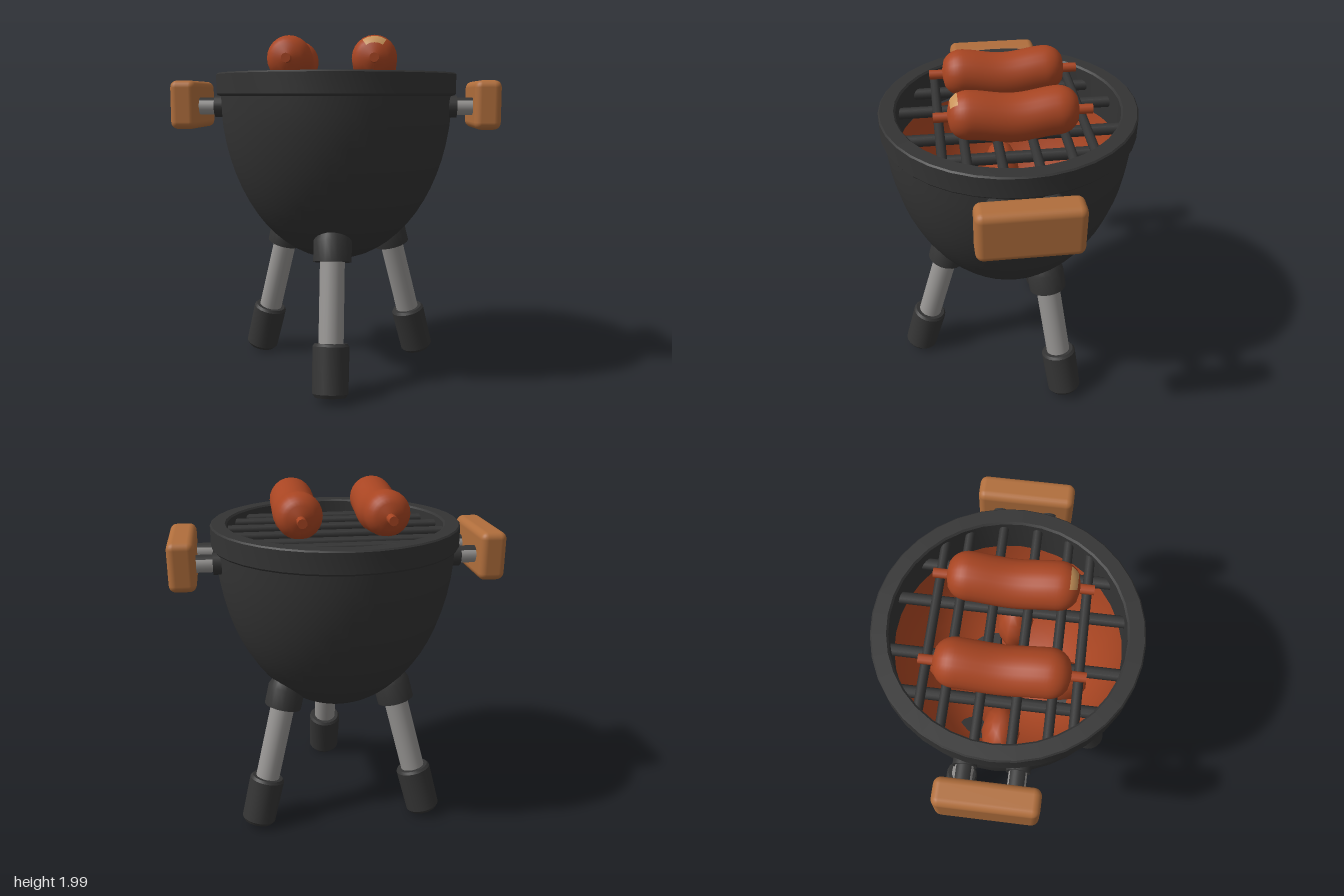
import * as THREE from 'three';
import { toCreasedNormals } from 'three/addons/utils/BufferGeometryUtils.js';
import { RoundedBoxGeometry } from 'three/addons/geometries/RoundedBoxGeometry.js';

const material = (name, color) => Object.assign(new THREE.MeshStandardMaterial({ color }), { name });
const charcoal = material('charcoal enamel', 0x343434);
const steel = material('brushed steel', 0x969492);
const wood = material('wood', 0xb06e3c);
const sausageRed = material('sausage and ember red', 0xa84522);
const tan = material('tan glow', 0xc8935a);

function add(parent, name, geometry, mat, x = 0, y = 0, z = 0) {
  const mesh = new THREE.Mesh(geometry, mat);
  mesh.name = name;
  mesh.position.set(x, y, z);
  parent.add(mesh);
  return mesh;
}

const lathe = (pts, sides, start, length) =>
  new THREE.LatheGeometry(pts.map(([x, y]) => new THREE.Vector2(x, y)), sides, start, length);
const crispLathe = (pts, sides) => toCreasedNormals(lathe(pts, sides), 0.6);

// Half-ellipse bowl profile, bottom to top
function bowlProfile(radius, depth, topAngle) {
  const pts = [];
  for (let i = 0; i <= 16; i++) {
    const a = (i / 16) * topAngle;
    pts.push([radius * Math.sin(a), 1.67 - depth * Math.cos(a)]);
  }
  return pts;
}

// Capped sausage profile along its axis, swollen by a small offset
function sausageProfile(from, to, offset = 0) {
  const pts = [];
  for (let i = 0; i <= 40; i++) {
    const z = from + (to - from) * i / 40;
    const end = Math.max(0, (Math.abs(z) - 0.225) / 0.12);
    pts.push([0.127 * Math.pow(Math.max(0, 1 - end ** 2.2), 1 / 2.2) + offset, z]);
  }
  return pts;
}

// Turn a lathe to lie along z and let its middle sag
function layAndSag(geometry) {
  geometry.rotateX(Math.PI / 2);
  const p = geometry.attributes.position;
  for (let i = 0; i < p.count; i++) {
    const z = p.getZ(i);
    if (Math.abs(z) < 0.25) p.setY(i, p.getY(i) - 0.03 * Math.cos(Math.PI * z / 0.5) ** 2);
  }
  geometry.computeVertexNormals();
  return geometry;
}

function makeSausage(x) {
  const g = new THREE.Group();
  g.name = 'sausage';
  g.position.set(x, 1.872, 0);
  add(g, 'sausageBody', layAndSag(lathe(sausageProfile(-0.345, 0.345), 24)), sausageRed);
  for (const s of [-1, 1]) {
    const tip = new THREE.CylinderGeometry(0.026, 0.026, 0.09, 10).rotateX(Math.PI / 2);
    add(g, 'sausageTip', tip, sausageRed, 0, -0.005, s * 0.368);
  }
  return g;
}

function makeLeg(angle) {
  const pivot = new THREE.Group();
  pivot.name = 'leg';
  pivot.rotation.y = angle;
  const leg = new THREE.Group();
  leg.name = 'tiltedLeg';
  leg.position.set(0, 0.03, 0.592);
  leg.rotation.x = -0.276;
  pivot.add(leg);
  add(leg, 'foot', crispLathe([[0, 0], [0.085, 0], [0.1, 0.02], [0.103, 0.275], [0.092, 0.29], [0, 0.29]], 20), charcoal);
  add(leg, 'legTube', new THREE.CylinderGeometry(0.07, 0.07, 0.6, 20), steel, 0, 0.52);
  add(leg, 'legCuff', crispLathe([[0, 0.74], [0.108, 0.74], [0.108, 0.86], [0.09, 0.9], [0, 0.9]], 20), charcoal);
  return pivot;
}

function makeHandle(side) {
  const g = new THREE.Group();
  g.name = side > 0 ? 'leftHandle' : 'rightHandle';
  add(g, 'handleGrip', new RoundedBoxGeometry(0.15, 0.275, 0.53, 3, 0.04), wood, side * 0.86, 1.612);
  for (const z of [-0.135, 0.135]) {
    const rod = new THREE.CylinderGeometry(0.047, 0.047, 0.18, 16).rotateZ(Math.PI / 2);
    add(g, 'handleRod', rod, steel, side * 0.73, 1.602, z);
    const collar = new THREE.CylinderGeometry(0.062, 0.062, 0.06, 16).rotateZ(Math.PI / 2);
    add(g, 'handleCollar', collar, charcoal, side * 0.665, 1.602, z);
    // Dark strip along the top of the rod
    const strip = new THREE.CylinderGeometry(0.051, 0.051, 0.14, 10, 1, true, Math.PI / 2 - 0.85, 1.7);
    add(g, 'rodCover', strip.rotateZ(Math.PI / 2), charcoal, side * 0.73, 1.602, z);
  }
  return g;
}

export function createModel() {
  const model = new THREE.Group();
  model.name = 'kettleGrill';

  // Bowl, rim and glowing lining
  add(model, 'bowl', lathe(bowlProfile(0.68, 0.98, Math.PI / 2), 40), charcoal);
  add(model, 'bowlLining', lathe(bowlProfile(0.645, 0.94, 1.42).reverse(), 32), sausageRed);
  add(model, 'rim', crispLathe([[0.61, 1.56], [0.66, 1.66], [0.695, 1.665], [0.703, 1.675], [0.703, 1.785],
    [0.695, 1.793], [0.62, 1.793], [0.61, 1.783], [0.61, 1.56]], 36), charcoal);

  // Embers in the bowl
  for (let i = 0; i < 4; i++) {
    const a = i * Math.PI / 2;
    const r = i % 2 ? 0.36 : 0.3;
    const ember = add(model, 'ember', new THREE.SphereGeometry(1, 10, 8), sausageRed,
      r * Math.sin(a), 1.12, r * Math.cos(a));
    ember.scale.set(0.11, 0.2, 0.17);
    ember.rotation.y = a;
  }
  const glow = add(model, 'emberGlow', new THREE.OctahedronGeometry(0.1), tan, 0, 1.1, 0);
  glow.scale.y = 0.6;

  // Cooking grate: upper bars across, lower bars front to back
  const chord = d => 2 * Math.sqrt(0.625 ** 2 - d * d);
  for (const z of [-0.395, -0.272, -0.095, 0.088, 0.262, 0.383]) {
    add(model, 'crossBar', new THREE.CylinderGeometry(0.026, 0.026, chord(z), 10).rotateZ(Math.PI / 2), charcoal, 0, 1.735, z);
  }
  for (const x of [-0.365, -0.15, 0.15, 0.365]) {
    add(model, 'lowerBar', new THREE.CylinderGeometry(0.032, 0.032, chord(x), 10).rotateX(Math.PI / 2), charcoal, x, 1.69, 0);
  }

  // Sausages, one with a pale patch on its front end
  const plain = makeSausage(-0.25);
  const patched = makeSausage(0.226);
  const patch = layAndSag(lathe(sausageProfile(0.285, 0.325, 0.003), 10, Math.PI - 0.6, 1.2));
  add(patched, 'palePatch', patch, tan);
  model.add(plain, patched);

  for (const side of [-1, 1]) model.add(makeHandle(side));
  for (let i = 0; i < 3; i++) model.add(makeLeg(i * Math.PI * 2 / 3));
  return model;
}
